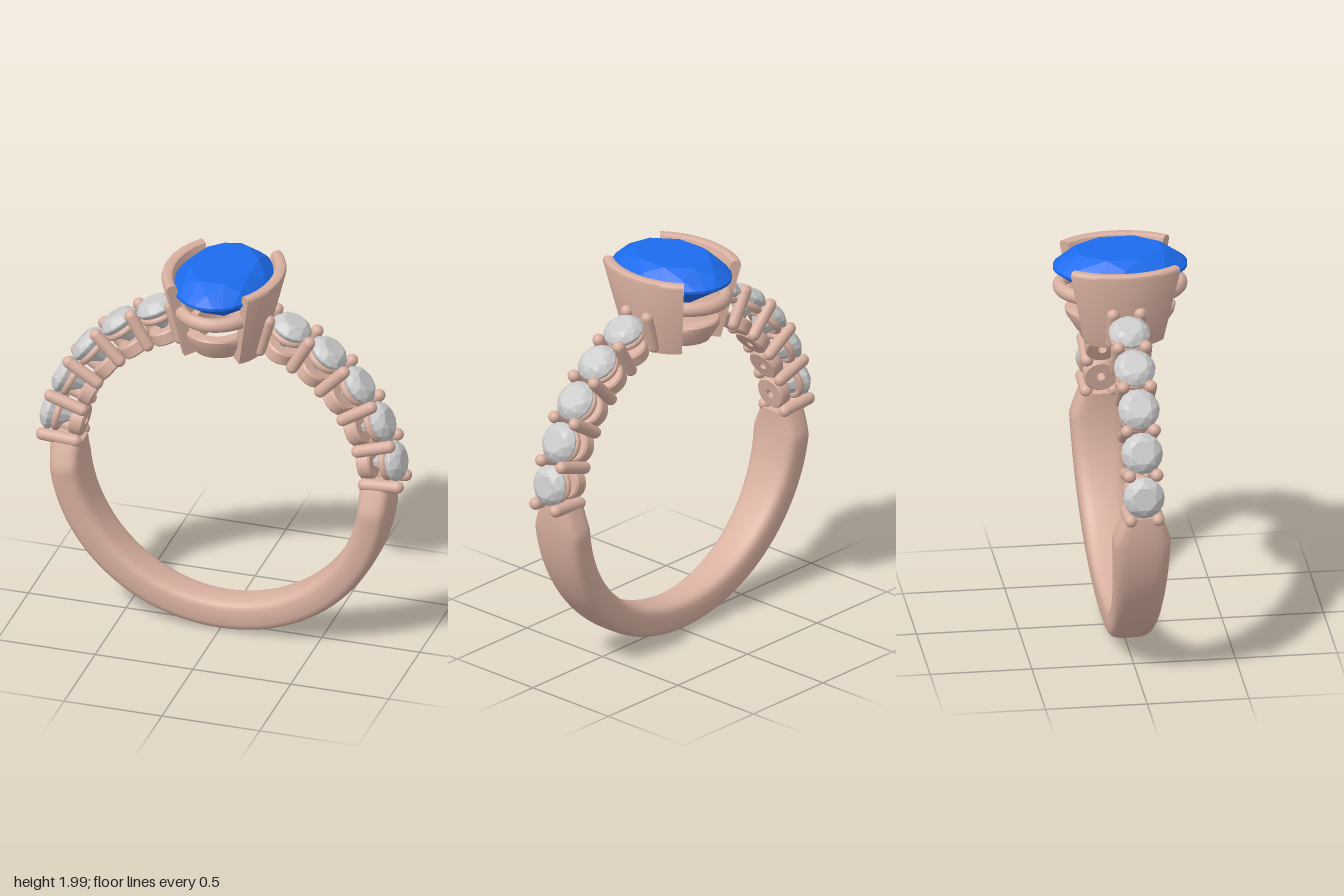
import * as THREE from 'three';
import { toCreasedNormals } from 'three/addons/utils/BufferGeometryUtils.js';
import { ConvexGeometry } from 'three/addons/geometries/ConvexGeometry.js';

const CY = 0.88;      // height of the finger hole's centre
const R_IN = 0.71;    // finger hole radius
const RAD = Math.PI / 180;

const metal = new THREE.MeshStandardMaterial({ color: 0xd8b0a0 });
const blue = new THREE.MeshStandardMaterial({ color: 0x1c6cee });
const clear = new THREE.MeshStandardMaterial({ color: 0xcccccc });

function add(parent, name, geometry, material) {
  const mesh = new THREE.Mesh(geometry, material);
  mesh.name = name;
  parent.add(mesh);
  return mesh;
}

// Skin over cross-sections; point(i, j) gives [x, y, z] of row i, corner j
function loft(rows, cols, point, closed, crease = 0.7) {
  const pos = [], idx = [];
  for (let i = 0; i <= rows; i++) for (let j = 0; j < cols; j++) pos.push(...point(i / rows, j));
  for (let i = 0; i < rows; i++) {
    for (let j = 0; j < cols; j++) {
      const a = i * cols + j, b = i * cols + (j + 1) % cols;
      idx.push(a, b, b + cols, a, b + cols, a + cols);
    }
  }
  if (!closed) {
    const e = rows * cols;
    for (let j = 1; j < cols - 1; j++) idx.push(0, j + 1, j, e, e + j, e + j + 1);
  }
  const g = new THREE.BufferGeometry();
  g.setAttribute('position', new THREE.Float32BufferAttribute(pos, 3));
  g.setIndex(idx);
  return toCreasedNormals(g, crease);
}

// Faceted stone; each level is [radius ratio, y, corners, turn in steps]
function gem(a, b, levels) {
  const pts = [];
  for (const [s, y, n, turn] of levels) {
    for (let k = 0; k < n; k++) {
      const t = (k + turn) / n * Math.PI * 2;
      pts.push(new THREE.Vector3(a * s * Math.cos(t), y, b * s * Math.sin(t)));
    }
  }
  return new ConvexGeometry(pts);
}

// Lower band: rounded section, widest near the shoulders
function shank() {
  const end = 93.5, n = 28;
  return loft(96, n, (u, j) => {
    const deg = -end + 2 * end * u, a = deg * RAD;
    let w = 0.092 + 0.055 * Math.pow(1 - Math.cos(a), 0.7);
    const over = Math.max(0, Math.abs(deg) - 84) / (end - 84);
    w = THREE.MathUtils.lerp(w, 0.092, over);
    const f = j / n * Math.PI * 2, c = Math.cos(f), s = Math.sin(f);
    const r = 0.79 + 0.08 * Math.sign(c) * Math.pow(Math.abs(c), 0.55);
    const z = -w * Math.sign(s) * Math.pow(Math.abs(s), 0.55);
    return [r * Math.sin(a), CY - r * Math.cos(a), z];
  }, false, 0.8);
}

// Height of the finger hole's surface at x
const floorY = x => CY + Math.sqrt(R_IN * R_IN - x * x);

// Half bezel: a flared oval wall, profile corners are [x radius, z radius, y]
function bezel() {
  const profile = [
    [0.2, 0.27, null], [0.297, 0.374, 1.95], [0.293, 0.37, 1.966], [0.283, 0.362, 1.973],
    [0.255, 0.338, 1.973], [0.243, 0.328, 1.966], [0.238, 0.323, 1.95], [0.14, 0.21, null],
  ];
  return loft(32, profile.length, (u, j) => {
    const t = (u * 2 - 1) * 46 * RAD, [a, b, y] = profile[j];
    const x = a * Math.cos(t);
    return [x, y ?? floorY(x) - 0.01, b * Math.sin(t)];
  }, false);
}

// Oval base ring of the head, its underside cut to the finger
function baseRing() {
  const profile = [
    [0.14, 0.215, 0], [0.182, 0.265, 0.08], [0.182, 0.272, 0.11], [0.175, 0.265, 0.12],
    [0.13, 0.215, 0.12], [0.095, 0.165, 0],
  ];
  return loft(64, profile.length, (u, j) => {
    const t = u * Math.PI * 2, [a, b, h] = profile[j];
    const x = a * Math.cos(t);
    return [x, floorY(x) + h, b * Math.sin(t)];
  }, true);
}

// Oval rail under the main stone
function rail() {
  const n = 14;
  return loft(64, n, (u, j) => {
    const t = u * Math.PI * 2, f = j / n * Math.PI * 2;
    const o = 0.034 * Math.cos(f);
    return [(0.215 + o) * Math.cos(t), 1.813 + 0.036 * Math.sin(f), (0.296 + o) * Math.sin(t)];
  }, true);
}

// Pierced disc at the bottom of each small setting
function cup() {
  const p = [[0.022, 0.715], [0.075, 0.715], [0.083, 0.723], [0.083, 0.775], [0.075, 0.785], [0.022, 0.785], [0.022, 0.715]];
  return toCreasedNormals(new THREE.LatheGeometry(p.map(q => new THREE.Vector2(...q)), 32), 0.6);
}

export function createModel() {
  const ring = new THREE.Group();
  ring.name = 'ring';
  add(ring, 'shank', shank(), metal);

  // Head with the oval stone
  const head = new THREE.Group();
  head.name = 'head';
  ring.add(head);
  const wall = bezel();
  add(head, 'leftBezel', wall, metal);
  add(head, 'rightBezel', wall, metal).rotation.y = Math.PI;
  add(head, 'baseRing', baseRing(), metal);
  add(head, 'galleryRail', rail(), metal);
  add(head, 'mainStone', gem(0.24, 0.33, [
    [0.67, 2.0, 8, 0.5], [0.86, 1.966, 8, 0], [1, 1.922, 32, 0], [1, 1.908, 32, 0],
    [0.55, 1.806, 8, 0.5], [0, 1.71, 1, 0],
  ]), blue);

  // Shoulders: five small stones a side with prong pairs between them
  const stoneGeo = gem(0.102, 0.102, [
    [0.58, 0.939, 8, 0.5], [0.82, 0.924, 8, 0], [1, 0.898, 16, 0], [1, 0.89, 16, 0],
    [0.5, 0.822, 8, 0.5], [0, 0.765, 1, 0],
  ]);
  const cupGeo = cup();
  const seatGeo = new THREE.TorusGeometry(0.078, 0.018, 10, 32).rotateX(Math.PI / 2).translate(0, 0.852, 0);
  const prongGeo = new THREE.CapsuleGeometry(0.031, 0.17, 6, 16).translate(0, 0.825, 0);

  const spoke = (name, deg) => {
    const g = new THREE.Group();
    g.name = name;
    g.position.y = CY;
    g.rotation.z = (deg - 90) * RAD;
    ring.add(g);
    return g;
  };
  for (const side of ['left', 'right']) {
    const at = d => (side === 'left' ? d : 180 - d);
    for (let k = 0; k < 5; k++) {
      const s = spoke(side + 'Setting', at(11 + 14 * k));
      add(s, 'smallStone', stoneGeo, clear);
      add(s, 'seat', seatGeo, metal);
      add(s, 'cup', cupGeo, metal);
    }
    for (let k = 0; k < 6; k++) {
      const s = spoke(side + 'Prongs', at(4 + 14 * k));
      for (const z of [-0.067, 0.067]) add(s, 'prong', prongGeo, metal).position.z = z;
    }
  }
  return ring;
}
